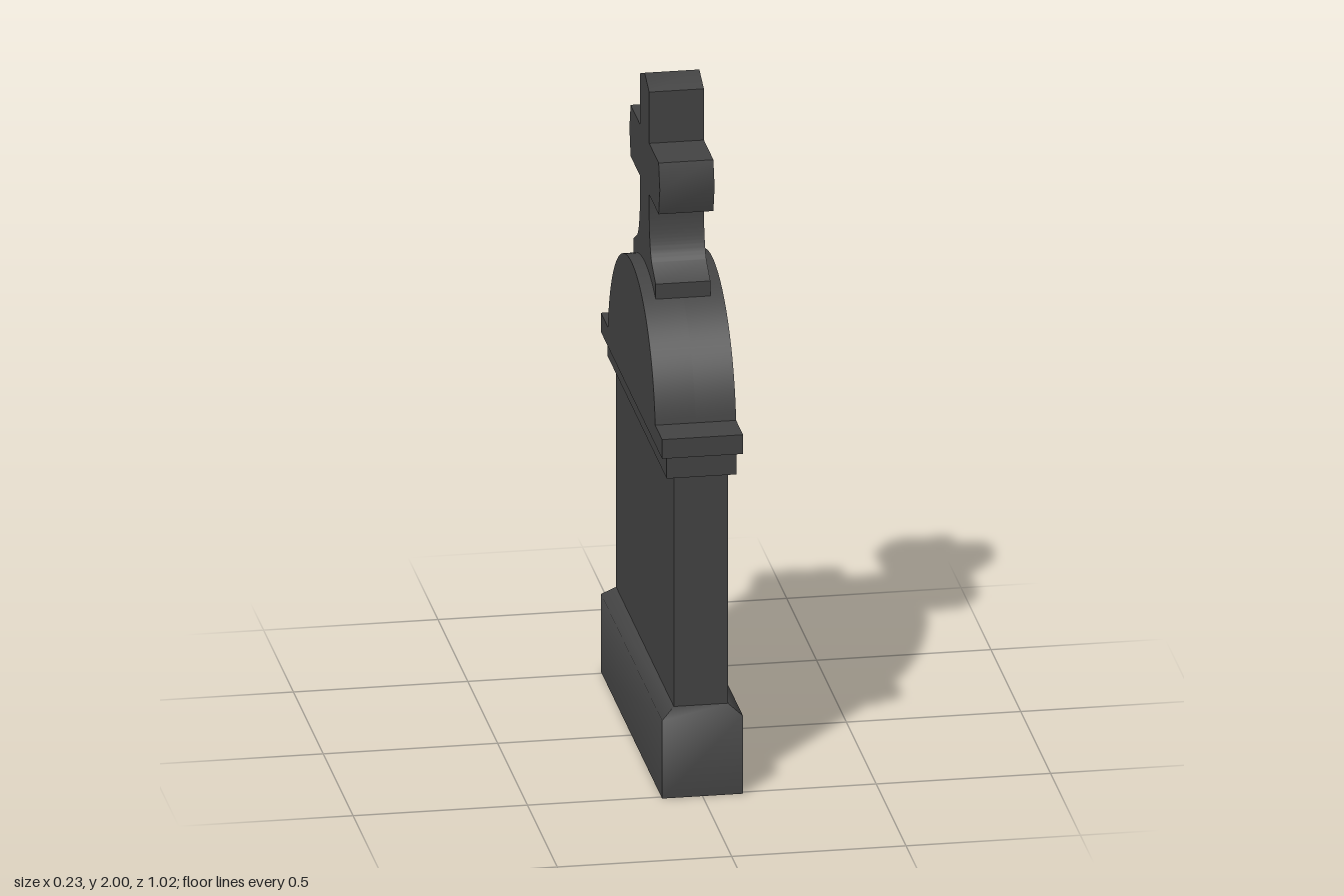
import * as THREE from 'three';
import { toCreasedNormals } from 'three/addons/utils/BufferGeometryUtils.js';

const ARCH_Y = 1.03; // centre height shared by all arches
const CREASE = 0.95; // shallower edges are shaded smooth

export function createModel() {
  const group = new THREE.Group();
  group.name = 'gravestone';
  const stone = new THREE.MeshStandardMaterial({ color: 0x444444 });

  const add = (name, geometry) => {
    const mesh = new THREE.Mesh(toCreasedNormals(geometry, CREASE), stone);
    mesh.name = name;
    group.add(mesh);
  };

  // Extrude a symmetric (z, y) profile along x from x0 to x1
  const slab = (name, shape, x0, x1) => {
    const g = new THREE.ExtrudeGeometry(shape, { depth: x1 - x0, bevelEnabled: false, curveSegments: 32 });
    add(name, g.rotateY(Math.PI / 2).translate(x0, 0, 0));
  };

  // Shouldered outline with a round top; an inner arch, slightly flattened, opens it from below
  const archShape = (half, y0, y1, outer, inner = 0) => {
    const a = Math.asin((y1 - ARCH_Y) / outer);
    const s = new THREE.Shape();
    s.moveTo(half, y0);
    s.lineTo(half, y1);
    s.absarc(0, ARCH_Y, outer, a, Math.PI - a, false);
    s.lineTo(-half, y1);
    s.lineTo(-half, y0);
    if (inner) {
      s.lineTo(-inner, y0);
      s.absellipse(0, ARCH_Y, inner, inner * 0.97, Math.PI, 0, true);
      s.lineTo(inner, y0);
    }
    s.closePath();
    return s;
  };

  // Plinth with a sloped top edge
  const rows = [[0, 0.116, 0.5125], [0.235, 0.116, 0.5125], [0.265, 0.0775, 0.4835]];
  const plinth = new THREE.BoxGeometry(2, 2, 2, 1, 2, 1);
  const p = plinth.attributes.position;
  for (let i = 0; i < p.count; i++) {
    const [y, hx, hz] = rows[Math.round(p.getY(i)) + 1];
    p.setXYZ(i, Math.sign(p.getX(i)) * hx, y, Math.sign(p.getZ(i)) * hz);
  }
  add('plinth', plinth);

  // Main tablet, including the recessed round panel
  slab('tablet', archShape(0.4835, 0.26, 1.05, 0.37), -0.0775, 0.0775);

  // Cornice: arched mouldings on one face, solid on the other
  slab('archMoulding', archShape(0.5125, 1.027, 1.085, 0.4, 0.342), 0, 0.116);
  slab('archBacking', archShape(0.5125, 1.027, 1.085, 0.4), -0.116, 0);
  slab('innerMoulding', archShape(0.496, 0.96, 1.05, 0.37, 0.283), 0, 0.1);
  add('backBand', new THREE.BoxGeometry(0.1, 0.08, 0.992).translate(-0.05, 1.0, 0));

  // Cross with flared foot and pointed ends
  const cross = new THREE.Shape();
  cross.moveTo(0.185, 1.35);
  cross.lineTo(0.185, 1.43);
  cross.lineTo(0.12, 1.467);
  cross.bezierCurveTo(0.095, 1.49, 0.076, 1.54, 0.076, 1.62);
  for (const [z, y] of [[0.076, 1.66], [0.235, 1.66], [0.255, 1.74], [0.235, 1.815],
    [0.076, 1.815], [0.076, 1.97], [0, 2], [-0.076, 1.97], [-0.076, 1.815],
    [-0.235, 1.815], [-0.255, 1.74], [-0.235, 1.66], [-0.076, 1.66], [-0.076, 1.62]]) {
    cross.lineTo(z, y);
  }
  cross.bezierCurveTo(-0.076, 1.54, -0.095, 1.49, -0.12, 1.467);
  cross.lineTo(-0.185, 1.43);
  cross.lineTo(-0.185, 1.35);
  cross.closePath();
  slab('cross', cross, -0.0785, 0.0785);

  return group;
}
